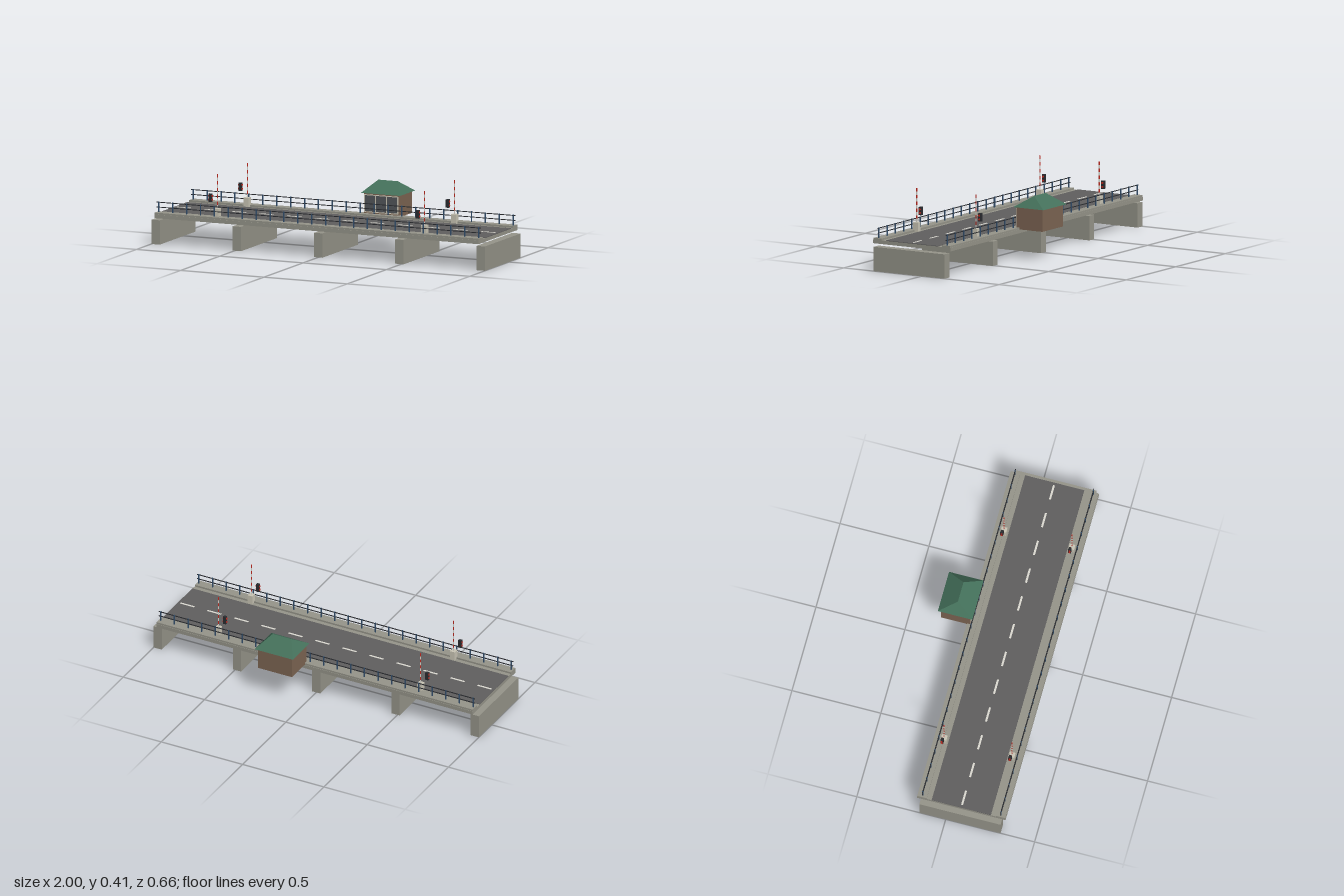
import * as THREE from 'three';

const mat = (name, color, extra = {}) => {
  const m = new THREE.MeshStandardMaterial({ color, ...extra });
  m.name = name;
  return m;
};

export function createModel() {
  const concrete = mat('concrete', 0x96958a);
  const asphalt = mat('asphalt', 0x605f5f);
  const cream = mat('cream', 0xcac6b6);
  const brick = mat('brick', 0x7d6553);
  const green = mat('green roof', 0x44705a);
  const dark = mat('dark metal', 0x2a2c30);
  const blue = mat('blue steel', 0x34506e);
  const glass = mat('glass', 0x53575b);
  const red = mat('red', 0xc42a20);
  const white = mat('white', 0xdcdad2);

  const bridge = new THREE.Group();
  bridge.name = 'bridge';

  const add = (parent, name, geo, material, x = 0, y = 0, z = 0) => {
    const mesh = new THREE.Mesh(geo, material);
    mesh.name = name;
    mesh.position.set(x, y, z);
    parent.add(mesh);
    return mesh;
  };
  // Box given by its size, the height of its underside and its centre in x and z
  const box = (parent, name, w, h, d, material, x, y0, z) =>
    add(parent, name, new THREE.BoxGeometry(w, h, d), material, x, y0 + h / 2, z);

  const midZ = 0.08; // centre line of the road
  const length = 1.944;

  // Piers
  for (let i = -2; i <= 2; i++) box(bridge, 'pier', 0.05, 0.134, 0.457, concrete, i * 0.4875, 0, midZ);

  // Deck, carriageway and centre line
  box(bridge, 'deck', length, 0.02, 0.498, concrete, 0, 0.148, midZ);
  box(bridge, 'road', length, 0.003, 0.333, asphalt, 0, 0.168, midZ);
  for (let i = 0; i < 12; i++) {
    box(bridge, 'laneDash', 0.085, 0.0015, 0.011, white, (i - 5.5) * 0.1662, 0.171, midZ);
  }

  // Walkways with railings on both sides
  for (const s of [1, -1]) {
    const railing = new THREE.Group();
    railing.name = 'railing';
    bridge.add(railing);
    box(bridge, 'walkway', length, 0.01, 0.052, concrete, 0, 0.168, midZ + s * 0.2205);
    const z = midZ + s * 0.22;
    const posts = 24;
    for (let i = 0; i < posts; i++) {
      const x = -0.96 + (1.92 * i) / (posts - 1);
      box(railing, 'railPost', 0.006, 0.058, 0.006, blue, x, 0.178, z);
    }
    for (const y of [0.203, 0.23]) box(railing, 'rail', length, 0.004, 0.004, dark, 0, y, z);
  }

  // Raised barriers with signal boxes
  const barrier = (x, z) => {
    const g = new THREE.Group();
    g.name = 'barrier';
    g.position.set(x, 0, z);
    bridge.add(g);
    box(g, 'barrierBase', 0.03, 0.051, 0.032, cream, 0, 0.168, 0);
    const stripes = 10, h = 0.0188;
    for (let i = 0; i < stripes; i++) {
      box(g, 'armStripe', 0.004, h, 0.005, i % 2 ? red : white, 0, 0.219 + i * h, 0);
    }
    box(g, 'signalBox', 0.018, 0.045, 0.016, dark, -0.041, 0.252, 0);
    for (const s of [1, -1]) {
      for (const y of [0.264, 0.285]) {
        const lamp = add(g, 'signalLamp', new THREE.CylinderGeometry(0.006, 0.006, 0.003, 12), red, -0.041 + s * 0.0105, y, 0);
        lamp.rotation.z = Math.PI / 2;
      }
    }
  };
  for (const x of [-0.622, 0.622]) for (const z of [0.271, -0.111]) barrier(x, z);

  // Control house
  const house = new THREE.Group();
  house.name = 'controlHouse';
  house.position.set(0.166, 0, -0.231);
  bridge.add(house);
  box(house, 'walls', 0.21, 0.122, 0.166, brick, 0, 0.168, 0);

  // Hipped roof: a box whose top is drawn in to a ridge
  const roofGeo = new THREE.BoxGeometry(0.235, 0.062, 0.194);
  const p = roofGeo.attributes.position;
  for (let i = 0; i < p.count; i++) {
    if (p.getY(i) > 0) {
      p.setX(i, Math.sign(p.getX(i)) * 0.058);
      p.setZ(i, 0);
    }
  }
  const roofFlat = roofGeo.toNonIndexed();
  roofFlat.computeVertexNormals();
  add(house, 'roof', roofFlat, green, 0, 0.321, 0);

  // Three framed windows facing the road
  const frontZ = 0.083;
  for (let i = -1; i <= 1; i++) {
    box(house, 'windowPane', 0.06, 0.088, 0.004, glass, i * 0.066, 0.19, frontZ + 0.002);
  }
  for (let i = 0; i < 4; i++) {
    box(house, 'windowMullion', 0.006, 0.094, 0.007, cream, (i - 1.5) * 0.066, 0.187, frontZ + 0.0035);
  }
  for (const y of [0.184, 0.278]) {
    box(house, 'windowRail', 0.204, 0.004, 0.007, cream, 0, y, frontZ + 0.0035);
  }

  return bridge;
}
